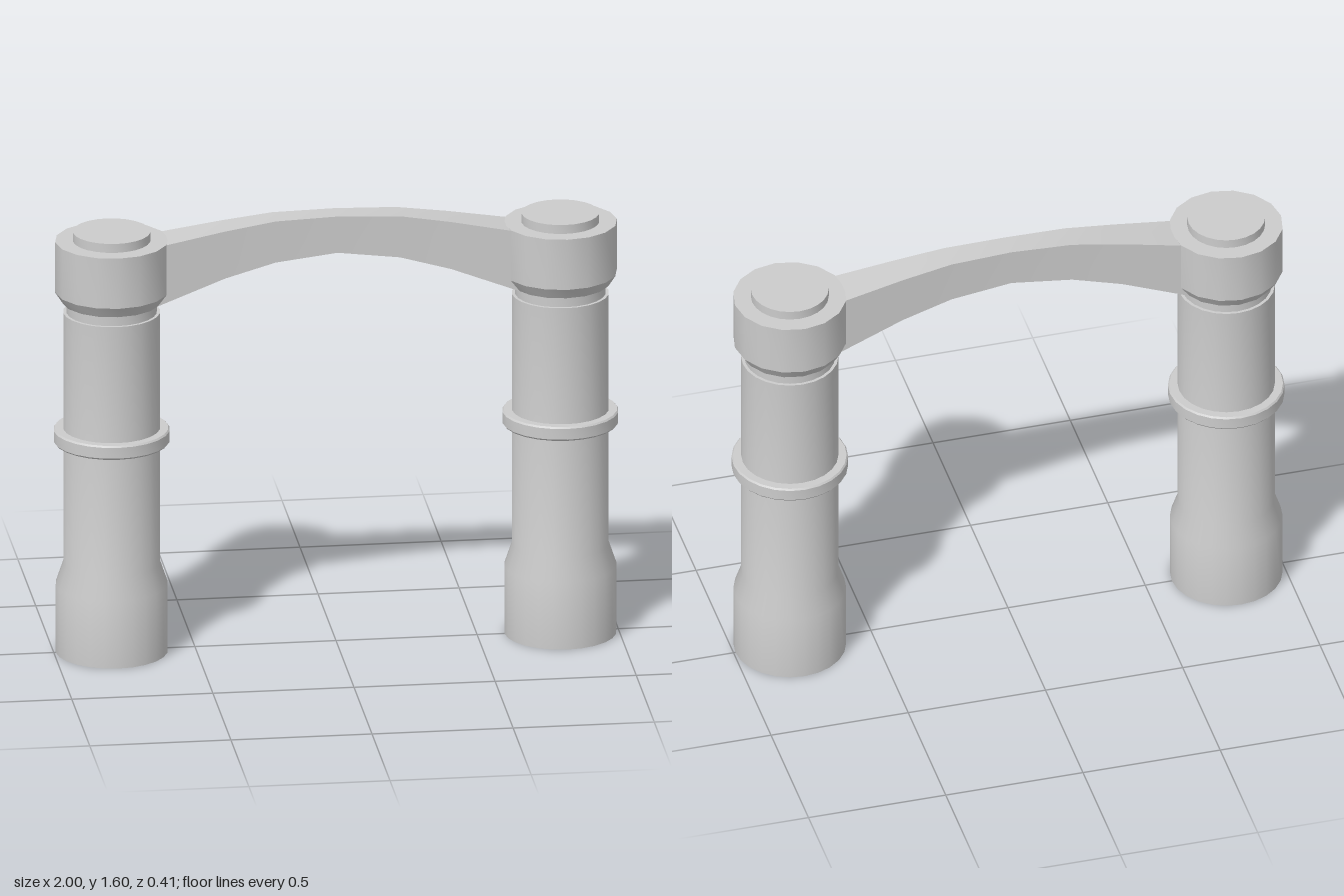
import * as THREE from 'three';
import { toCreasedNormals } from 'three/addons/utils/BufferGeometryUtils.js';

const material = new THREE.MeshStandardMaterial({ color: 0xcccccc });

function part(name, geometry, crease = 0.5) {
  const mesh = new THREE.Mesh(toCreasedNormals(geometry, crease), material);
  mesh.name = name;
  return mesh;
}

// Turned part from [radius, height] pairs, listed from bottom to top
function turned(name, profile, sides) {
  const points = profile.map(([r, y]) => new THREE.Vector2(r, y));
  return part(name, new THREE.LatheGeometry(points, sides));
}

function createPillar(x) {
  const pillar = new THREE.Group();
  pillar.name = x > 0 ? 'leftPillar' : 'rightPillar';
  pillar.position.x = x;
  pillar.add(
    // shaft with flared foot and narrow neck
    turned('shaft', [[0, 0], [0.198, 0], [0.198, 0.25], [0.171, 0.33], [0.171, 1.262],
      [0.16, 1.262], [0.16, 1.31]], 24),
    // band around the middle
    turned('band', [[0.165, 0.778], [0.2, 0.778], [0.205, 0.784], [0.205, 0.824],
      [0.2, 0.83], [0.165, 0.83]], 24),
    // head with chamfered underside
    turned('head', [[0, 1.3], [0.174, 1.3], [0.2, 1.34], [0.2, 1.527], [0, 1.527]], 16),
    turned('topDisc', [[0.137, 1.52], [0.137, 1.56], [0, 1.56]], 24)
  );
  return pillar;
}

// Arched beam: rectangular sections [x, bottom, top, half depth], mirrored about the middle
function createBeam() {
  const half = [[0.64, 1.3, 1.52, 0.077], [0.4, 1.387, 1.562, 0.06],
    [0.22, 1.435, 1.588, 0.05]];
  const sections = [
    ...half.map(([x, ...rest]) => [-x, ...rest]),
    [0, 1.46, 1.595, 0.045],
    ...half.slice().reverse()
  ];
  const positions = [];
  const index = [];
  sections.forEach(([x, bottom, top, d], i) => {
    positions.push(x, bottom, d, x, top, d, x, top, -d, x, bottom, -d);
    if (i === 0) return;
    for (let k = 0; k < 4; k++) {
      const a = (i - 1) * 4 + k, b = (i - 1) * 4 + (k + 1) % 4;
      index.push(a, a + 4, b + 4, a, b + 4, b);
    }
  });
  const e = (sections.length - 1) * 4;
  index.push(0, 1, 2, 0, 2, 3, e, e + 2, e + 1, e, e + 3, e + 2);
  const geometry = new THREE.BufferGeometry();
  geometry.setAttribute('position', new THREE.Float32BufferAttribute(positions, 3));
  geometry.setIndex(index);
  return part('archedBeam', geometry);
}

export function createModel() {
  const model = new THREE.Group();
  model.name = 'archway';
  for (const side of [-1, 1]) model.add(createPillar(side * 0.795));
  model.add(createBeam());
  return model;
}
